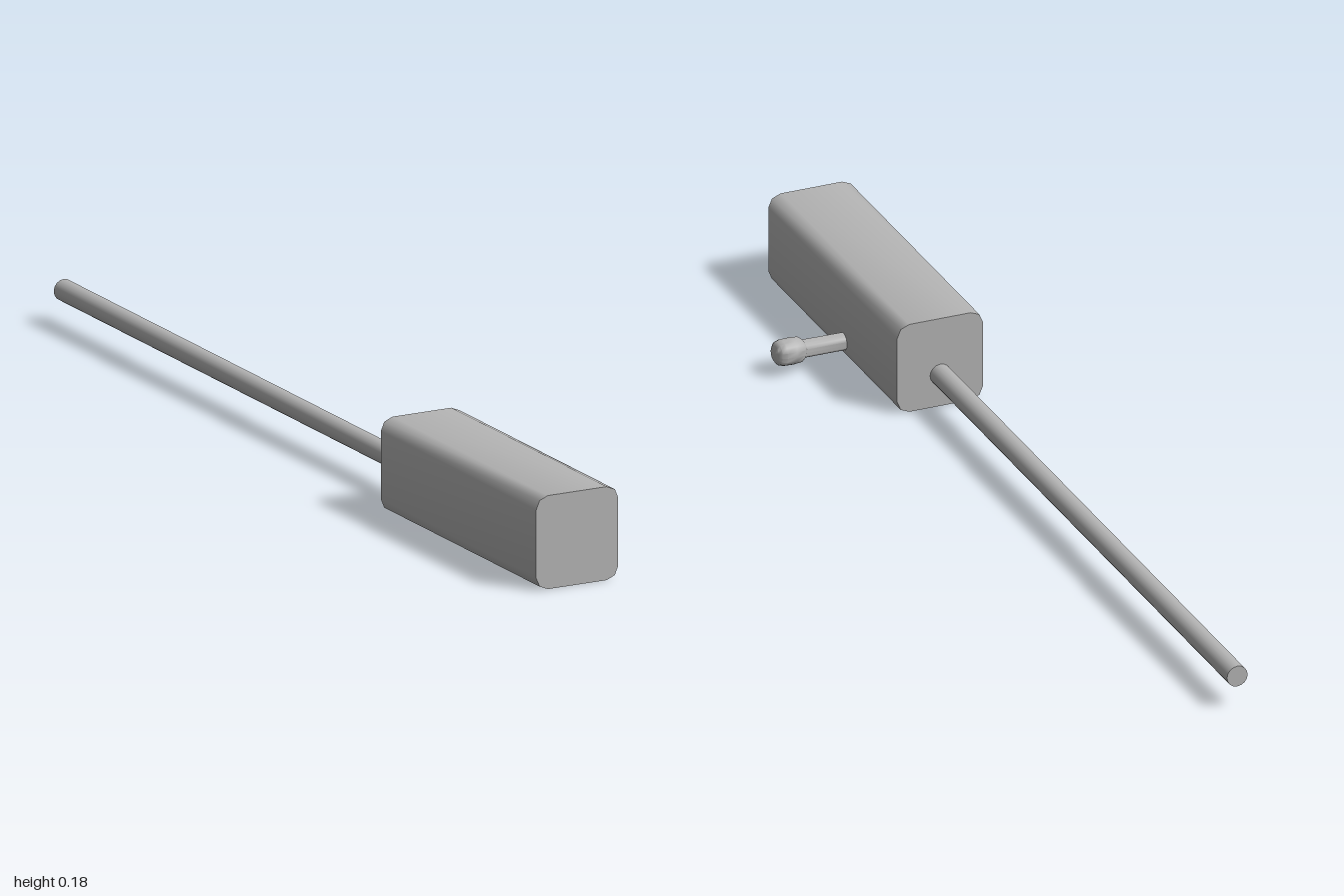
import * as THREE from 'three';
import { toCreasedNormals } from 'three/addons/utils/BufferGeometryUtils.js';

export function createModel() {
  const group = new THREE.Group();
  const metal = new THREE.MeshStandardMaterial({ color: 0xb4b4b4 });
  metal.name = 'grey metal';

  const add = (name, geometry) => {
    const mesh = new THREE.Mesh(geometry, metal);
    mesh.name = name;
    group.add(mesh);
    return mesh;
  };

  // Receiver block: a square section with two-step rounded corners
  const halfW = 0.0875, halfH = 0.091, r = 0.025;
  const section = [];
  for (const [sx, sy, start] of [[1, 1, 0], [-1, 1, 1], [-1, -1, 2], [1, -1, 3]]) {
    for (let i = 0; i <= 2; i++) {
      const a = (start + i / 2) * Math.PI / 2;
      section.push(new THREE.Vector2(
        sx * (halfW - r) + r * Math.cos(a),
        sy * (halfH - r) + r * Math.sin(a)));
    }
  }
  const block = new THREE.ExtrudeGeometry(new THREE.Shape(section), { depth: 0.605, bevelEnabled: false });
  add('receiver', toCreasedNormals(block, 1)).position.set(-0.0725, halfH, 0.395);

  // Barrel: long thin rod running to the back
  const barrel = new THREE.CylinderGeometry(0.021, 0.021, 1.4, 16);
  barrel.rotateX(Math.PI / 2);
  add('barrel', barrel).position.set(-0.073, 0.066, -0.3);

  // Bolt handle: slightly tilted stem ending in a rounded knob
  const profile = [
    [0, 0], [0.017, 0], [0.0175, 0.108], [0.02, 0.11], [0.0245, 0.116],
    [0.0262, 0.132], [0.0255, 0.152], [0.0225, 0.162], [0.016, 0.167], [0, 0.167],
  ].map(([x, y]) => new THREE.Vector2(x, y));
  const handle = add('boltHandle', toCreasedNormals(new THREE.LatheGeometry(profile, 16), 0.8));
  handle.position.set(-0.006, 0.037, 0.649);
  handle.quaternion.setFromUnitVectors(
    new THREE.Vector3(0, 1, 0),
    new THREE.Vector3(0.16, 0.008, -0.013).normalize());

  return group;
}
